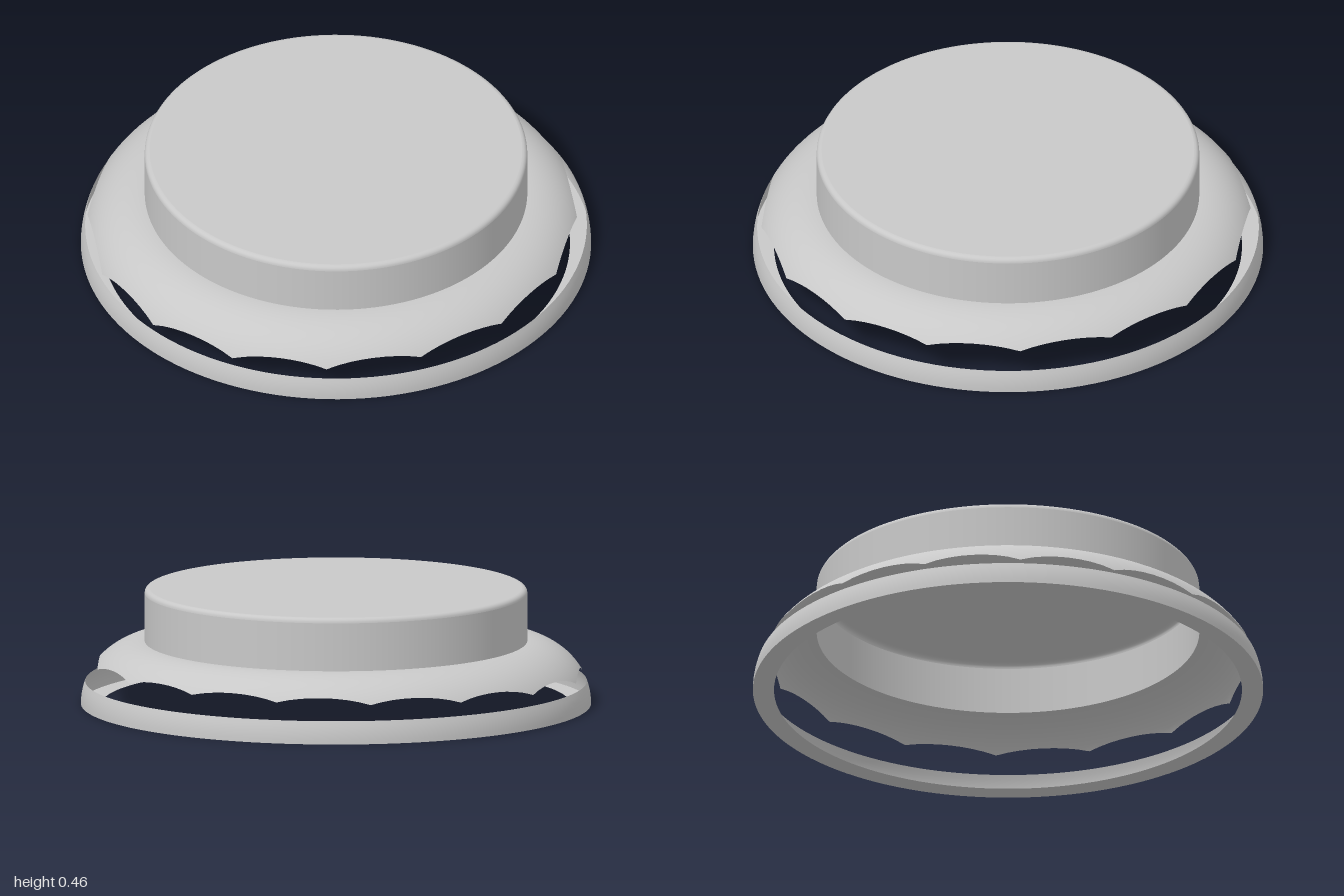
import * as THREE from 'three';

const SEGMENTS = 128;
const CROWN_R = 0.75;  // radius of the raised crown
const ROUND = 0.25;    // radius of the rounded shoulder

const shoulderHeight = (r) => Math.sqrt(Math.max(0, ROUND ** 2 - (r - CROWN_R) ** 2));

// Lower edge of the shoulder: a slightly off-centre 16-sided cut
function cutRadius(angle) {
  const step = Math.PI / 8;
  const local = (((angle % step) + step) % step) - step / 2;
  const polygon = 0.96 * Math.cos(step / 2) / Math.cos(local);
  return polygon - 0.016 * Math.sin(angle) - 0.005 * Math.cos(angle);
}

export function createModel() {
  const group = new THREE.Group();
  const grey = new THREE.MeshStandardMaterial({ color: 0xc8c8c8, side: THREE.DoubleSide });
  grey.name = 'plain grey';

  const add = (name, geometry) => {
    const mesh = new THREE.Mesh(geometry, grey);
    mesh.name = name;
    group.add(mesh);
    return mesh;
  };
  const lathe = (points) =>
    new THREE.LatheGeometry(points.map(([x, y]) => new THREE.Vector2(x, y)), SEGMENTS);

  // Crown: hollow wall, small rounded rim and flat lid
  add('crownWall', lathe([[CROWN_R, 0.25], [CROWN_R, 0.44]]));
  const rim = [];
  for (let i = 0; i <= 5; i++) {
    const a = (i / 5) * Math.PI / 2;
    rim.push([CROWN_R - 0.02 + 0.02 * Math.cos(a), 0.44 + 0.02 * Math.sin(a)]);
  }
  add('crownRim', lathe(rim));
  const lid = add('crownLid', new THREE.CircleGeometry(CROWN_R - 0.02, SEGMENTS).rotateX(-Math.PI / 2));
  lid.position.y = 0.46;

  // Rounded shoulder: each ray from the crown stretches to the scalloped cut
  const rows = 14;
  const strip = [];
  for (let i = 0; i <= rows; i++) strip.push([1 - i / rows, 0]);
  const shoulder = lathe(strip);
  const pos = shoulder.attributes.position;
  const normal = shoulder.attributes.normal;
  for (let i = 0; i < pos.count; i++) {
    const angle = Math.floor(i / (rows + 1)) / SEGMENTS * Math.PI * 2;
    const t = 1 - (i % (rows + 1)) / rows;
    const r = CROWN_R + (cutRadius(angle) - CROWN_R) * t;
    const y = shoulderHeight(r);
    const out = (r - CROWN_R) / ROUND;
    pos.setXYZ(i, r * Math.sin(angle), y, r * Math.cos(angle));
    normal.setXYZ(i, out * Math.sin(angle), y / ROUND, out * Math.cos(angle));
  }
  shoulder.computeBoundingSphere();
  add('scallopedShoulder', shoulder);

  // Base ring: the foot of the same curve, with a flat flange under it
  const foot = [];
  for (let i = 0; i <= 5; i++) {
    const y = 0.09 * i / 5;
    foot.push([CROWN_R + Math.sqrt(ROUND ** 2 - y * y), y]);
  }
  add('baseRingWall', lathe(foot));
  add('baseFlange', new THREE.RingGeometry(0.917, 1, SEGMENTS).rotateX(Math.PI / 2));

  return group;
}
